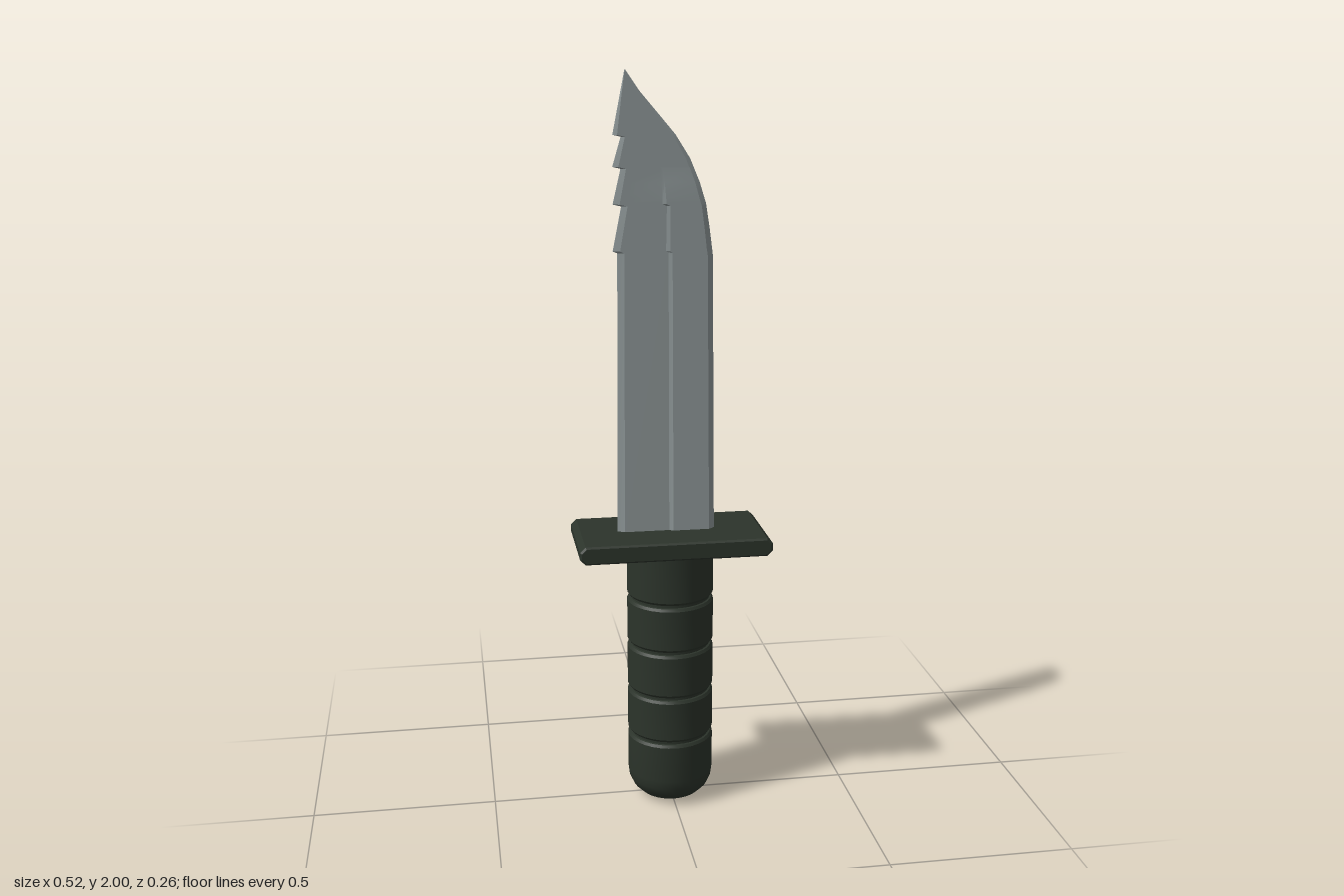
import * as THREE from 'three';
import { toCreasedNormals } from 'three/addons/utils/BufferGeometryUtils.js';

const steel = new THREE.MeshStandardMaterial({ color: 0x8f9899 });
steel.name = 'steel';
const darkGreen = new THREE.MeshStandardMaterial({ color: 0x2c342b });
darkGreen.name = 'dark green';

// Piecewise linear lookup in a list of [y, value]
function lookup(table, y) {
  for (let i = 1; i < table.length; i++) {
    const [y0, v0] = table[i - 1], [y1, v1] = table[i];
    if (y <= y1) return THREE.MathUtils.mapLinear(y, y0, y1, v0, v1);
  }
  return table[table.length - 1][1];
}

// Saw-toothed spine, curved cutting edge and the two thicknesses, by height
const spine = [
  [0.76, -0.145], [1.54, -0.138], [1.545, -0.15], [1.66, -0.127], [1.665, -0.149],
  [1.755, -0.128], [1.76, -0.149], [1.835, -0.127], [1.84, -0.148], [2, -0.116],
];
const edge = [
  [0.76, 0.121], [1.53, 0.113], [1.6, 0.104], [1.665, 0.094], [1.72, 0.077],
  [1.78, 0.052], [1.84, 0.014], [1.9, -0.037], [1.95, -0.08], [2, -0.114],
];
const thin = [[0.76, 0.014], [1.75, 0.007], [2, 0.004]];
const thick = [[0.76, 0.021], [1.68, 0.011], [1.755, 0.007], [2, 0.004]];

function bladeGeometry() {
  const heights = [...new Set([...spine, ...edge, ...thick].map((p) => p[0]))].sort((a, b) => a - b);
  const pos = [], index = [];
  for (const y of heights) {
    const l = lookup(spine, y), w = lookup(edge, y) - l;
    const a = lookup(thin, y), b = lookup(thick, y);
    const half = [[0, a * 0.25], [0.07, a], [0.53, a], [0.57, b], [0.94, b], [1, b * 0.35]];
    const loop = [...half, ...half.map(([f, z]) => [f, -z]).reverse()];
    for (const [f, z] of loop) pos.push(l + f * w, y, z);
  }
  const n = 12, rows = heights.length;
  for (let r = 0; r < rows - 1; r++) {
    for (let i = 0; i < n; i++) {
      const a = r * n + i, b = r * n + (i + 1) % n;
      index.push(a, b, b + n, a, b + n, a + n);
    }
  }
  // End caps
  const top = (rows - 1) * n;
  for (let i = 0; i < n / 2 - 1; i++) {
    const j = n - 1 - i;
    index.push(i, j, j - 1, i, j - 1, i + 1);
    index.push(top + i, top + i + 1, top + j - 1, top + i, top + j - 1, top + j);
  }
  const g = new THREE.BufferGeometry();
  g.setAttribute('position', new THREE.Float32BufferAttribute(pos, 3));
  g.setIndex(index);
  return toCreasedNormals(g, 0.2);
}

// Round grip with a domed pommel and four grooves
function gripGeometry() {
  const r = 0.119;
  const pts = [[0, 0], [0.06, 0.002], [0.085, 0.012], [0.105, 0.032], [0.116, 0.056], [r, 0.08]];
  for (const y of [0.195, 0.327, 0.461, 0.597]) {
    pts.push([r, y - 0.012], [r - 0.005, y - 0.005], [r - 0.01, y - 0.004],
      [r - 0.01, y + 0.004], [r - 0.005, y + 0.005], [r, y + 0.012]);
  }
  pts.push([r, 0.75]);
  const g = new THREE.LatheGeometry(pts.map(([x, y]) => new THREE.Vector2(x, y)), 32);
  return toCreasedNormals(g, 0.6);
}

// Flat crossguard with chamfered rims
function guardGeometry() {
  const bevel = 0.005, x = 0.26 - bevel, y = 0.025 - bevel, c = 0.012;
  const shape = new THREE.Shape([
    [-x + c, -y], [x - c, -y], [x, -y + c], [x, y - c],
    [x - c, y], [-x + c, y], [-x, y - c], [-x, -y + c],
  ].map(([px, py]) => new THREE.Vector2(px, py)));
  const g = new THREE.ExtrudeGeometry(shape, {
    depth: 0.25, bevelEnabled: true, bevelSize: bevel, bevelThickness: bevel, bevelSegments: 1,
  });
  g.translate(0, 0.76, -0.125);
  return g;
}

export function createModel() {
  const group = new THREE.Group();
  group.name = 'knife';
  const add = (name, geometry, material) => {
    const mesh = new THREE.Mesh(geometry, material);
    mesh.name = name;
    group.add(mesh);
  };
  add('blade', bladeGeometry(), steel);
  add('guard', guardGeometry(), darkGreen);
  add('grip', gripGeometry(), darkGreen);
  return group;
}
